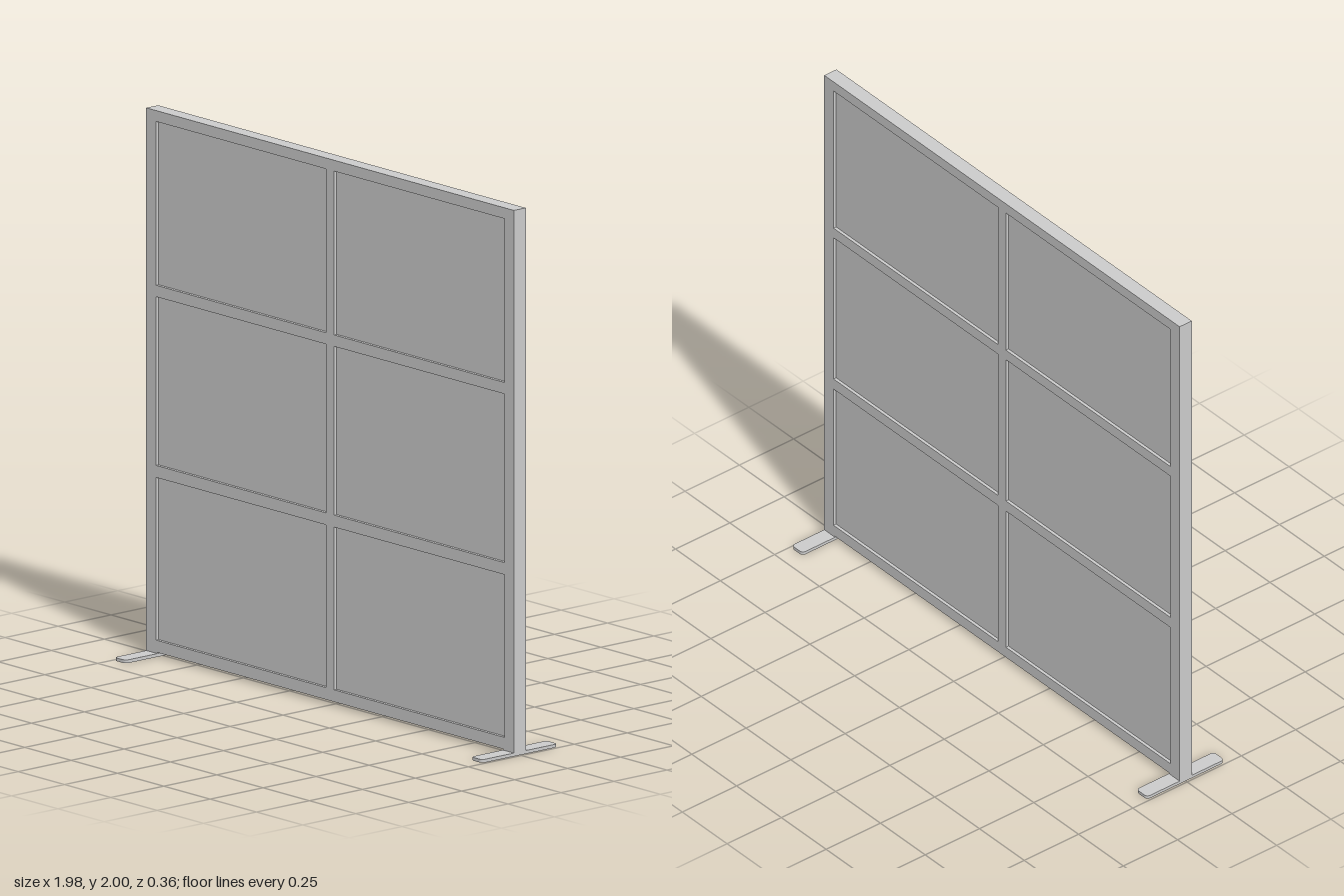
import * as THREE from 'three';

const W = 0.992;       // half width
const TOP = 2;
const BOTTOM = 0.016;  // underside of the bottom rail
const FOOT_H = 0.012;
const DEPTH = 0.056;   // frame thickness
const PANEL = 0.032;   // panel thickness, recessed on both faces

const columns = [[-0.94, -0.022], [0.022, 0.94]];
const rows = [[0.06, 0.656], [0.7, 1.318], [1.36, 1.96]];

export function createModel() {
  const model = new THREE.Group();
  model.name = 'partitionScreen';
  const material = new THREE.MeshStandardMaterial({ color: 0xcccccc });

  const add = (name, geometry, x = 0, y = 0, z = 0) => {
    const mesh = new THREE.Mesh(geometry, material);
    mesh.name = name;
    mesh.position.set(x, y, z);
    model.add(mesh);
  };

  // Frame outline: the posts reach down onto the feet, the rail stays just above
  const outline = new THREE.Shape([
    [-W, FOOT_H], [-0.935, FOOT_H], [-0.935, BOTTOM], [0.935, BOTTOM],
    [0.935, FOOT_H], [W, FOOT_H], [W, TOP], [-W, TOP],
  ].map(([x, y]) => new THREE.Vector2(x, y)));

  // Six openings, each filled with a recessed panel
  for (const [x0, x1] of columns) {
    for (const [y0, y1] of rows) {
      outline.holes.push(new THREE.Path([
        new THREE.Vector2(x0, y0), new THREE.Vector2(x0, y1),
        new THREE.Vector2(x1, y1), new THREE.Vector2(x1, y0),
      ]));
      add('panel', new THREE.BoxGeometry(x1 - x0, y1 - y0, PANEL), (x0 + x1) / 2, (y0 + y1) / 2);
    }
  }
  add('frame', new THREE.ExtrudeGeometry(outline, { depth: DEPTH, bevelEnabled: false }), 0, 0, -DEPTH / 2);

  // Flat feet with rounded corners
  const w = 0.03, l = 0.178, r = 0.015;
  const foot = new THREE.Shape();
  foot.moveTo(-w + r, -l);
  foot.absarc(w - r, -l + r, r, -Math.PI / 2, 0);
  foot.absarc(w - r, l - r, r, 0, Math.PI / 2);
  foot.absarc(-w + r, l - r, r, Math.PI / 2, Math.PI);
  foot.absarc(-w + r, -l + r, r, Math.PI, Math.PI * 1.5);
  const footGeometry = new THREE.ExtrudeGeometry(foot, { depth: FOOT_H, bevelEnabled: false, curveSegments: 6 });
  footGeometry.rotateX(-Math.PI / 2);
  add('leftFoot', footGeometry, W - w);
  add('rightFoot', footGeometry, -W + w);

  return model;
}
